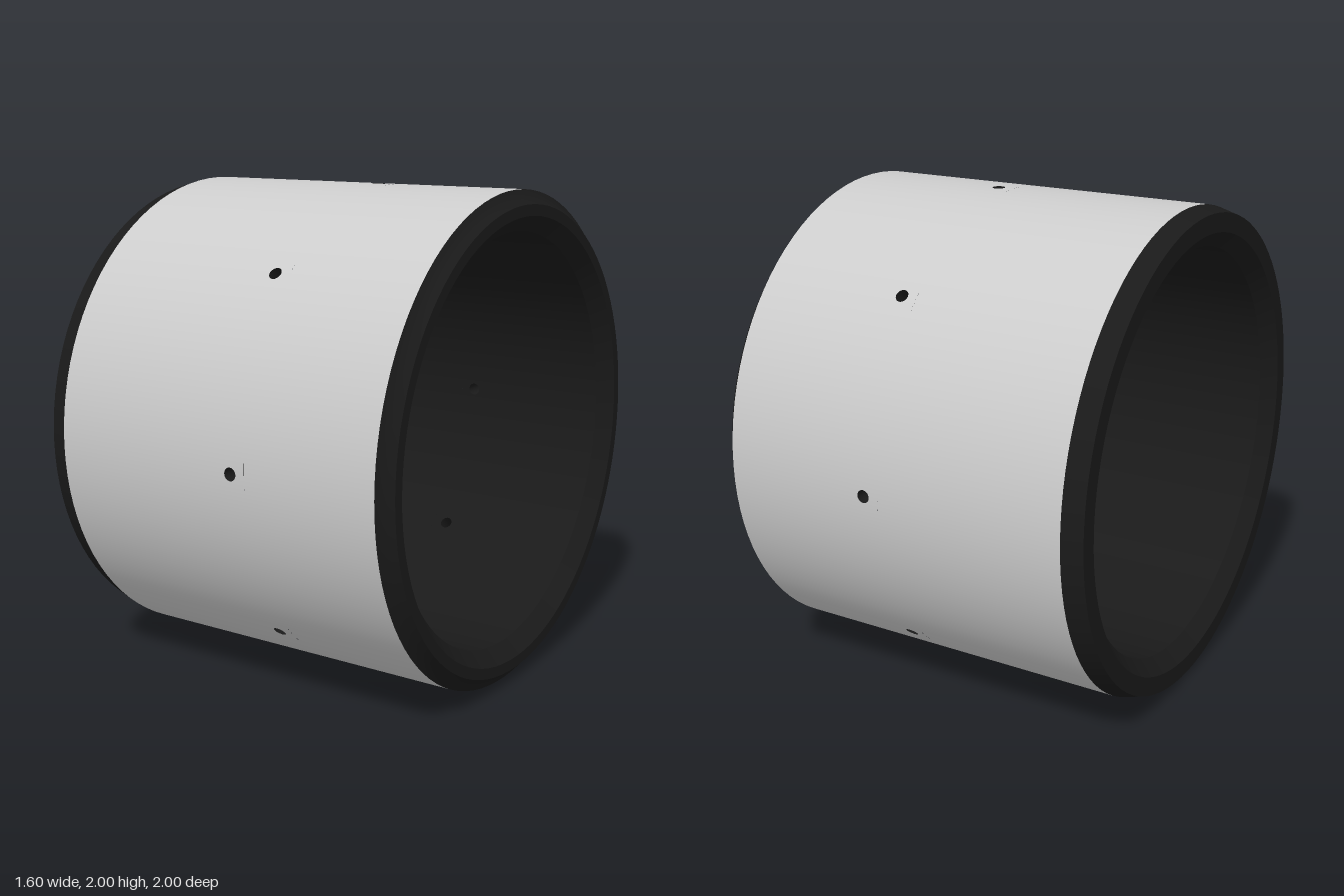
import * as THREE from 'three';
import { mergeGeometries } from 'three/addons/utils/BufferGeometryUtils.js';

const SEG = 96, HOLES = 8, HOLE_R = 0.026, HOLE_Y = 0.12;
const STEP = (Math.PI * 2) / HOLES;
const HALF = (Math.PI * 2) / SEG; // half angle of the patch around each hole
const BAND = 0.065; // half height of the patch
const OUTER = 1, INNER = 0.84;

// Surface of revolution about y; points are [radius, y]
function turn(points, segments = SEG, start = 0, length = Math.PI * 2) {
  return new THREE.LatheGeometry(points.map(p => new THREE.Vector2(...p)), segments, start, length);
}

// Curved square patch with a round hole, built from rings between circle and square
function holePatch(r, angle, inward) {
  const N = 32, RINGS = 3, pos = [], nor = [], uv = [], idx = [];
  const s = inward ? -1 : 1;
  for (let k = 0; k <= RINGS; k++) {
    for (let i = 0; i <= N; i++) {
      const a = (i / N) * Math.PI * 2, c = Math.cos(a), d = Math.sin(a);
      const m = Math.max(Math.abs(c), Math.abs(d)), t = k / RINGS;
      const phi = angle + THREE.MathUtils.lerp(Math.asin((HOLE_R * c) / r), (HALF * c) / m, t);
      const y = HOLE_Y + THREE.MathUtils.lerp(HOLE_R * d, (BAND * d) / m, t);
      pos.push(r * Math.sin(phi), y, r * Math.cos(phi));
      nor.push(s * Math.sin(phi), 0, s * Math.cos(phi));
      uv.push(i / N, t);
      if (k < RINGS && i < N) {
        const p = k * (N + 1) + i, q = p + N + 1;
        if (inward) idx.push(p, q + 1, q, p, p + 1, q + 1);
        else idx.push(p, q, q + 1, p, q + 1, p + 1);
      }
    }
  }
  const g = new THREE.BufferGeometry();
  g.setAttribute('position', new THREE.Float32BufferAttribute(pos, 3));
  g.setAttribute('normal', new THREE.Float32BufferAttribute(nor, 3));
  g.setAttribute('uv', new THREE.Float32BufferAttribute(uv, 2));
  g.setIndex(idx);
  return g;
}

// Cylinder wall with a ring of radial holes
function drilledWall(r, y0, y1, inward) {
  const lo = HOLE_Y - BAND, hi = HOLE_Y + BAND;
  const span = (a, b) => (inward ? [[r, b], [r, a]] : [[r, a], [r, b]]);
  const parts = [turn(span(y0, lo)), turn(span(hi, y1))];
  for (let i = 0; i < HOLES; i++) {
    parts.push(holePatch(r, i * STEP, inward));
    parts.push(turn(span(lo, hi), SEG / HOLES - 2, i * STEP + HALF, STEP - 2 * HALF));
  }
  return mergeGeometries(parts);
}

export function createModel() {
  const model = new THREE.Group();
  model.name = 'bushing';
  const grey = new THREE.MeshStandardMaterial({ color: 0xcccccc });
  const dark = new THREE.MeshStandardMaterial({ color: 0x1a1a1a });
  const darkDouble = new THREE.MeshStandardMaterial({ color: 0x1a1a1a, side: THREE.DoubleSide });

  const sleeve = new THREE.Group();
  sleeve.name = 'sleeve';
  const add = (name, geometry, material) => {
    const mesh = new THREE.Mesh(geometry, material);
    mesh.name = name;
    sleeve.add(mesh);
  };

  add('outerWall', drilledWall(OUTER, -0.72, 0.75, false), grey);
  add('innerWall', drilledWall(INNER, -0.74, 0.74, true), dark);

  // End rims: outer bevel, flat face, inner bevel
  add('leftRim', mergeGeometries([
    turn([[OUTER, 0.75], [0.981, 0.761], [0.962, 0.778], [0.945, 0.8]]),
    turn([[0.945, 0.8], [0.9, 0.8]]),
    turn([[0.9, 0.8], [INNER, 0.74]]),
  ]), dark);
  add('rightRim', mergeGeometries([
    turn([[INNER, -0.74], [0.9, -0.8]]),
    turn([[0.9, -0.8], [0.977, -0.8]]),
    turn([[0.977, -0.8], [OUTER, -0.72]]),
  ]), dark);

  // Walls of the radial holes
  for (let i = 0; i < HOLES; i++) {
    const bore = new THREE.CylinderGeometry(HOLE_R, HOLE_R, OUTER - INNER, 32, 1, true);
    bore.rotateX(Math.PI / 2).translate(0, HOLE_Y, (OUTER + INNER) / 2).rotateY(i * STEP);
    add('radialHole' + (i + 1), bore, darkDouble);
  }

  // Lay the sleeve on its side, axis along x
  sleeve.rotation.z = -Math.PI / 2;
  sleeve.position.y = 1;
  model.add(sleeve);
  return model;
}
